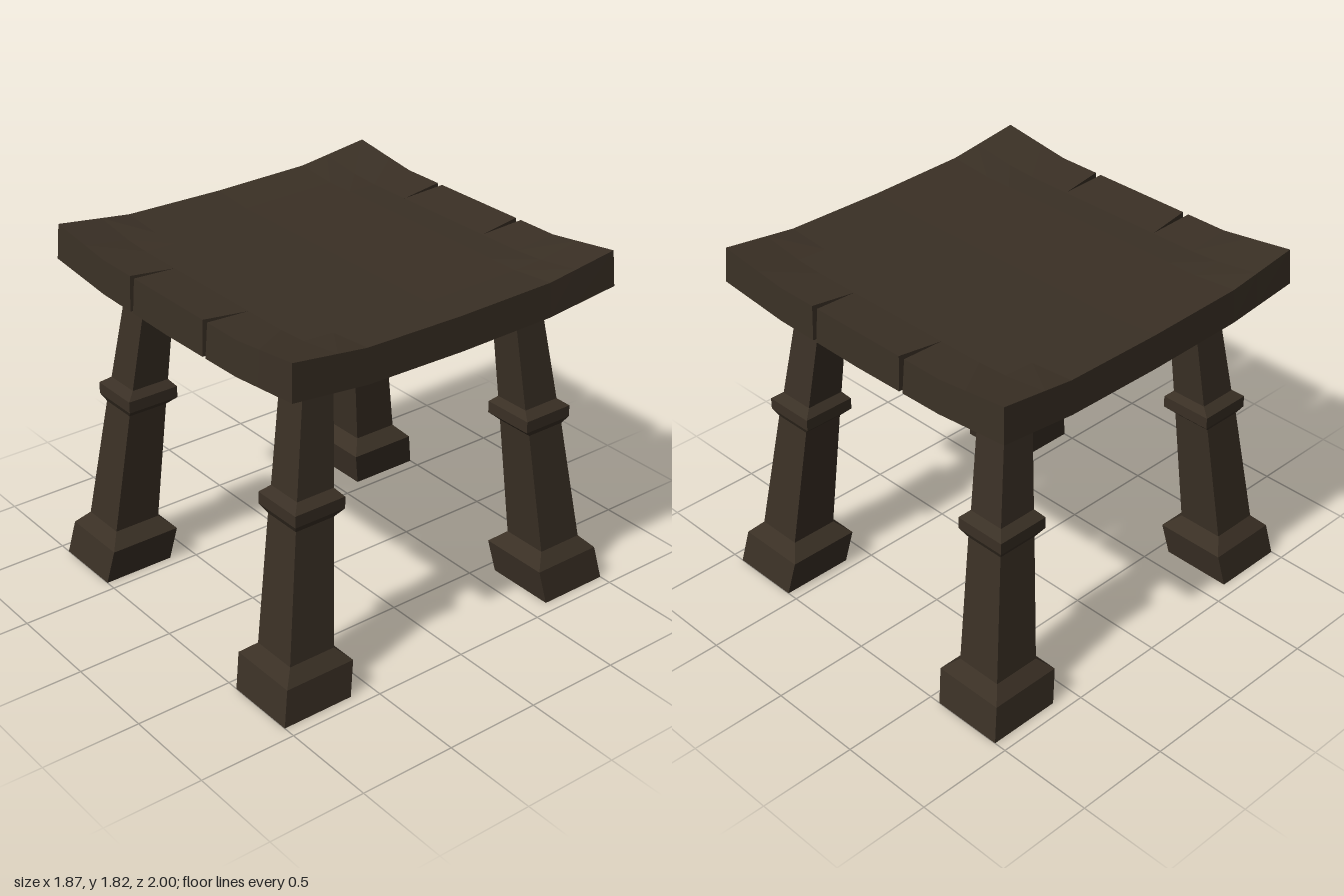
import * as THREE from 'three';

// Flat-shaded geometry from a list of counter-clockwise quads.
function quadGeometry(quads) {
  const pos = [];
  for (const [a, b, c, d] of quads) pos.push(...a, ...b, ...c, ...a, ...c, ...d);
  const g = new THREE.BufferGeometry();
  g.setAttribute('position', new THREE.Float32BufferAttribute(pos, 3));
  g.computeVertexNormals();
  return g;
}

// Leg cross-sections from floor to seat: y, inner x, outer x, inner z, outer z.
const LEG = [
  [0.00, 0.56, 0.935, 0.62, 1.00],
  [0.18, 0.535, 0.91, 0.587, 0.965],
  [0.245, 0.605, 0.85, 0.652, 0.903],
  [0.89, 0.57, 0.777, 0.595, 0.808],
  [0.93, 0.53, 0.803, 0.552, 0.83],
  [0.99, 0.53, 0.803, 0.552, 0.83],
  [1.025, 0.565, 0.757, 0.58, 0.785],
  [1.62, 0.528, 0.688, 0.528, 0.69],
];

function legGeometry(sx, sz) {
  const rings = LEG.map(([y, x0, x1, z0, z1]) =>
    [[x0, z1], [x1, z1], [x1, z0], [x0, z0]].map(([x, z]) => [x * sx, y, z * sz]));
  const quads = [[...rings[0]].reverse(), rings[rings.length - 1]];
  for (let k = 0; k + 1 < rings.length; k++) {
    for (let i = 0; i < 4; i++) {
      const j = (i + 1) % 4;
      quads.push([rings[k][i], rings[k][j], rings[k + 1][j], rings[k + 1][i]]);
    }
  }
  // Mirroring one axis turns the winding over.
  return quadGeometry(sx * sz < 0 ? quads.map(q => [...q].reverse()) : quads);
}

const HALF = 0.93, NOTCH_X = 0.29, NOTCH_Z = 0.69;
const ZS = [-HALF, -NOTCH_Z, -0.53, 0, 0.53, NOTCH_Z, HALF];
const ramp = (v, from) => THREE.MathUtils.clamp((Math.abs(v) - from) / (HALF - from), 0, 1);

// Point on the seat: dished top, lifted corners, slightly flared sides.
// seam is the direction in which a notch pulls this point away from its neighbour.
function seatPoint(x, z, top, seam) {
  const corner = ramp(x, 0.53) * ramp(z, 0.53);
  const y = top
    ? 1.74 + 0.02 * Math.max(ramp(x, 0.69), ramp(z, 0.69)) + 0.008 * Math.min(1, Math.abs(z) / 0.53) + 0.052 * corner
    : 1.59 + 0.008 * Math.max(ramp(x, 0.29), ramp(z, 0.29)) * Math.min(1, Math.abs(x * z) / 0.5) + 0.042 * corner;
  const flare = top ? 0.992 : 1.004;
  const px = Math.abs(x) === HALF ? x * flare : x + seam * (top ? 0.017 : 0.011) * ramp(z, NOTCH_Z);
  const pz = Math.abs(z) === HALF ? z * (flare + 0.004 * corner) : z;
  return [px, y, pz];
}

// One of three boards that meet in the middle and split apart at the notches.
function boardQuads(xs) {
  const quads = [], last = xs.length - 1;
  const P = (i, k, top) => {
    const seam = Math.abs(xs[i]) !== NOTCH_X ? 0 : i === 0 ? 1 : -1;
    return seatPoint(xs[i], ZS[k], top, seam);
  };
  for (let i = 0; i < last; i++) {
    for (let k = 0; k + 1 < ZS.length; k++) {
      const cell = top => [P(i, k + 1, top), P(i + 1, k + 1, top), P(i + 1, k, top), P(i, k, top)];
      const [a, b, c, d] = cell(true), [e, f, g, h] = cell(false);
      // Diagonals run towards the seat corners.
      const flip = (xs[i] + xs[i + 1]) * (ZS[k] + ZS[k + 1]) > 0;
      quads.push(flip ? [b, c, d, a] : [a, b, c, d]);
      quads.push(flip ? [f, e, h, g] : [e, h, g, f]);
    }
    // Front and back edges
    const n = ZS.length - 1;
    quads.push([P(i, n, false), P(i + 1, n, false), P(i + 1, n, true), P(i, n, true)]);
    quads.push([P(i + 1, 0, false), P(i, 0, false), P(i, 0, true), P(i + 1, 0, true)]);
  }
  // Side edges, with inner ones only where a notch opens
  for (let k = 0; k + 1 < ZS.length; k++) {
    const open = Math.max(Math.abs(ZS[k]), Math.abs(ZS[k + 1])) > NOTCH_Z;
    if (open || xs[0] === -HALF)
      quads.push([P(0, k, false), P(0, k + 1, false), P(0, k + 1, true), P(0, k, true)]);
    if (open || xs[last] === HALF)
      quads.push([P(last, k + 1, false), P(last, k, false), P(last, k, true), P(last, k + 1, true)]);
  }
  return quads;
}

export function createModel() {
  const model = new THREE.Group();
  model.name = 'stool';
  const wood = new THREE.MeshStandardMaterial({ color: 0x3a3025 });
  wood.name = 'dark wood';
  wood.flatShading = true;

  // Seat
  const boards = [
    [-HALF, -0.69, -0.53, -NOTCH_X],
    [-NOTCH_X, 0, NOTCH_X],
    [NOTCH_X, 0.53, 0.69, HALF],
  ];
  const seat = new THREE.Mesh(quadGeometry(boards.flatMap(boardQuads)), wood);
  seat.name = 'seat';
  model.add(seat);

  // Four splayed legs with foot block and ring
  for (const sx of [1, -1]) {
    for (const sz of [1, -1]) {
      const leg = new THREE.Mesh(legGeometry(sx, sz), wood);
      leg.name = (sz > 0 ? 'front' : 'back') + (sx > 0 ? 'Left' : 'Right') + 'Leg';
      model.add(leg);
    }
  }
  return model;
}
